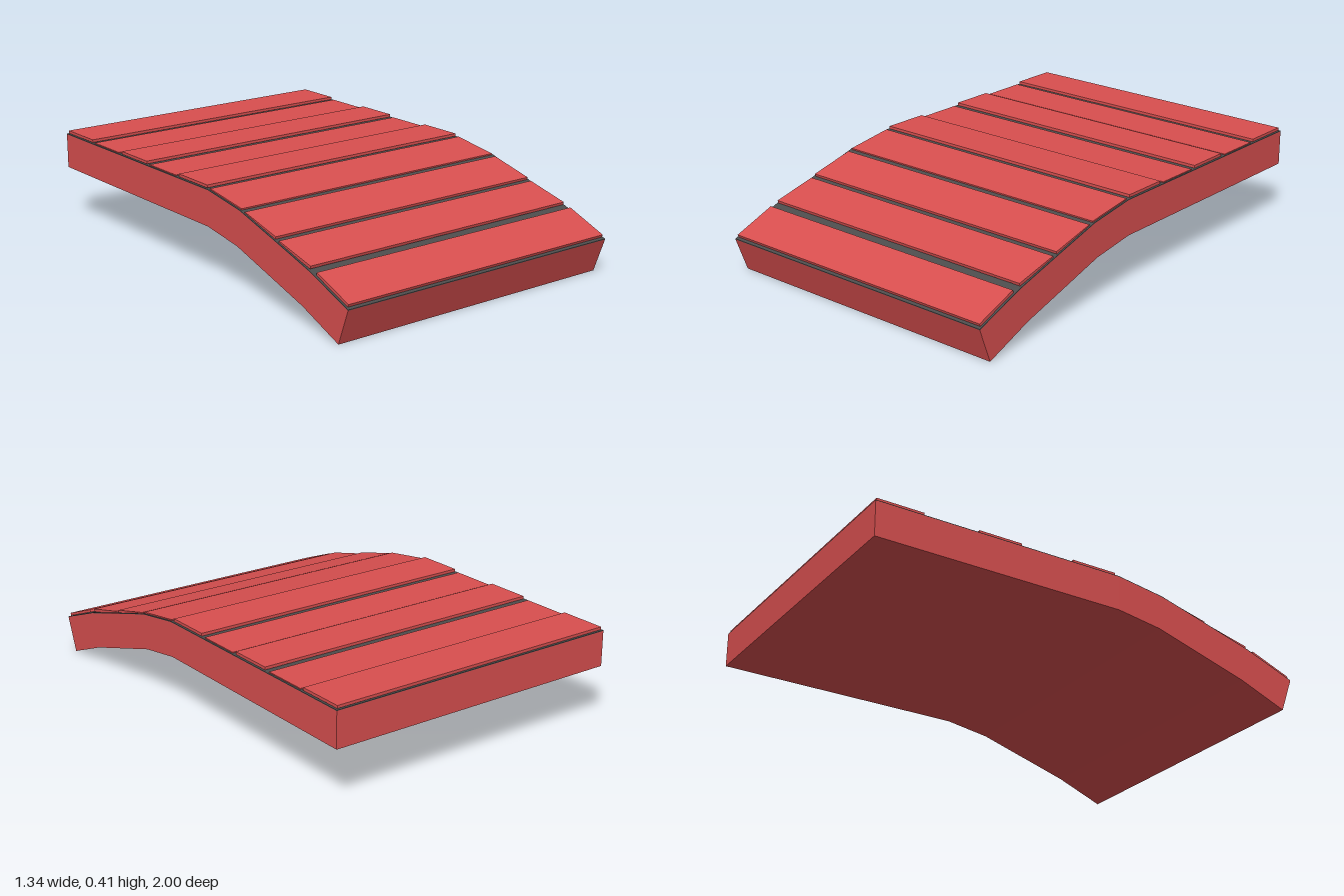
import * as THREE from 'three';

const red = new THREE.MeshStandardMaterial({ color: 0xd84f4f });
const grey = new THREE.MeshStandardMaterial({ color: 0x4c4c4c });
const WIDTH = 1.335;

// Side profiles as [z, y], from the front end to the back
const TOP = [[1, 0.15], [0.775, 0.235], [0.55, 0.3], [0.33, 0.362], [0.115, 0.394], [-1, 0.394]];
const BOTTOM = [[0.945, 0], [0.73, 0.085], [0.31, 0.21], [0.11, 0.24], [-1, 0.24]];

// Extrude a closed z-y outline across the full width
function across(name, upper, lower, material) {
  const outline = [...upper, ...[...lower].reverse()].map(([z, y]) => new THREE.Vector2(z, y));
  const geometry = new THREE.ExtrudeGeometry(new THREE.Shape(outline), { depth: WIDTH, bevelEnabled: false });
  geometry.translate(0, 0, -WIDTH / 2).rotateY(-Math.PI / 2);
  const mesh = new THREE.Mesh(geometry, material);
  mesh.name = name;
  return mesh;
}

// Thin board whose upper face runs from the back point to the front point
function slat([zb, yb], [zf, yf], index) {
  const thickness = 0.012;
  const length = Math.hypot(zf - zb, yf - yb);
  const geometry = new THREE.BoxGeometry(WIDTH - 0.015, thickness, length);
  geometry.translate(0, -thickness / 2, 0);
  const mesh = new THREE.Mesh(geometry, red);
  mesh.position.set(0, (yb + yf) / 2, (zb + zf) / 2);
  mesh.rotation.x = Math.atan2(yb - yf, zf - zb);
  mesh.name = `slat${index + 1}`;
  return mesh;
}

export function createModel() {
  const model = new THREE.Group();
  model.name = 'slattedRamp';

  // Solid bent body with a thin dark deck on top
  const under = TOP.map(([z, y]) => [z, y - 0.003]);
  model.add(across('body', under, BOTTOM, red));
  model.add(across('deck', TOP, under, grey));

  // Boards, back to front; the level ones alternate in height
  const slats = new THREE.Group();
  slats.name = 'slats';
  [
    [[-0.993, 0.408], [-0.787, 0.408]],
    [[-0.77, 0.398], [-0.57, 0.398]],
    [[-0.543, 0.408], [-0.347, 0.408]],
    [[-0.325, 0.398], [-0.127, 0.398]],
    [[-0.105, 0.408], [0.1, 0.408]],
    [[0.12, 0.398], [0.335, 0.367]],
    [[0.355, 0.359], [0.555, 0.31]],
    [[0.575, 0.299], [0.77, 0.252]],
    [[0.808, 0.238], [0.993, 0.167]],
  ].forEach(([back, front], i) => slats.add(slat(back, front, i)));
  model.add(slats);
  return model;
}
